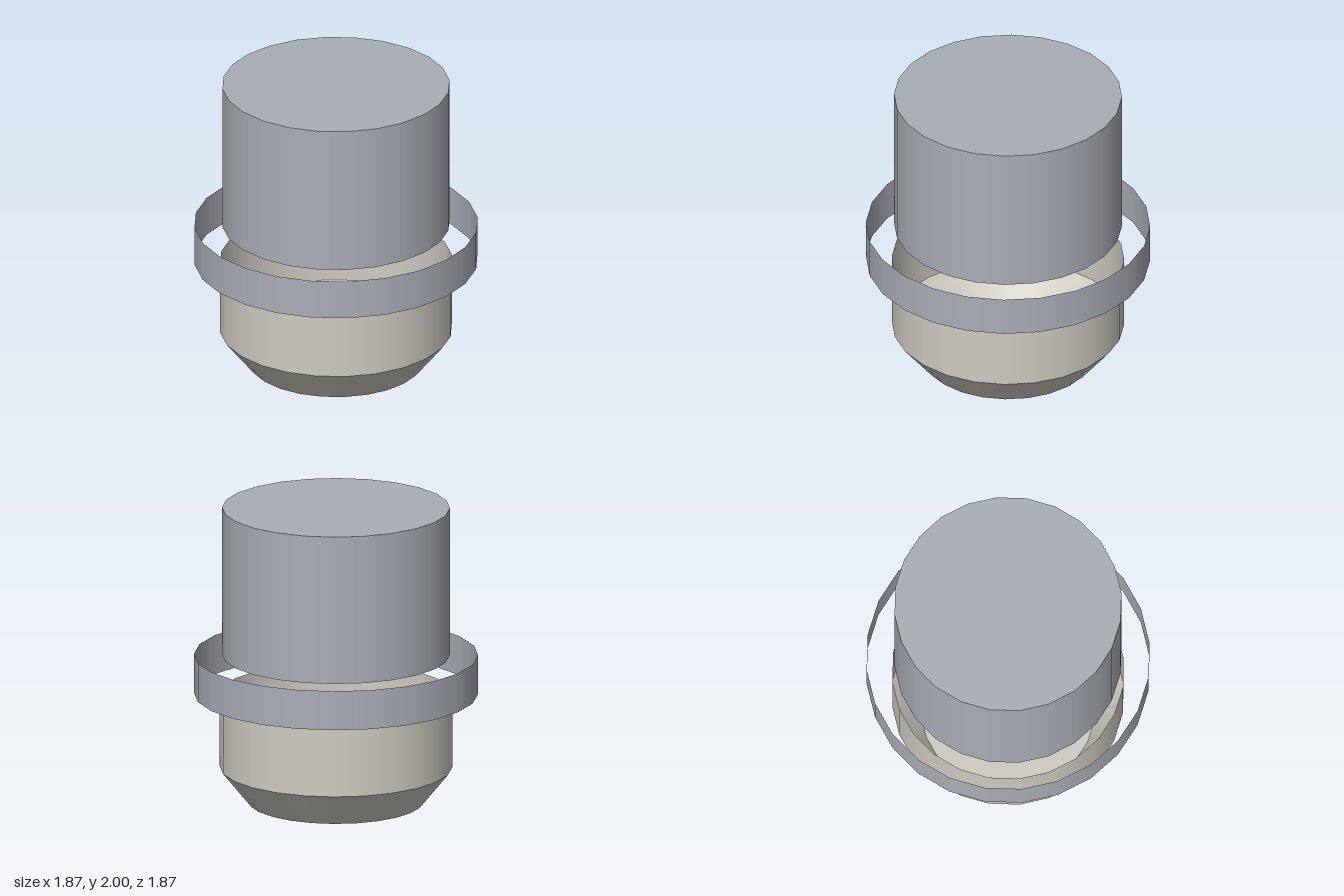
import * as THREE from 'three';

const SIDES = 24;

export function createModel() {
  const model = new THREE.Group();
  const steel = new THREE.MeshStandardMaterial({ color: 0xa9adb5, side: THREE.DoubleSide });
  const ivory = new THREE.MeshStandardMaterial({ color: 0xcecbc1, side: THREE.DoubleSide });

  const add = (name, geometry, material, y) => {
    const mesh = new THREE.Mesh(geometry, material);
    mesh.name = name;
    mesh.position.y = y;
    model.add(mesh);
    return mesh;
  };
  // Open wall between two heights
  const wall = (name, rTop, rBottom, y0, y1, material) =>
    add(name, new THREE.CylinderGeometry(rTop, rBottom, y1 - y0, SIDES, 1, true), material, (y0 + y1) / 2);
  // Flat disc facing up (+1) or down (-1)
  const disc = (name, radius, y, facing, material) =>
    add(name, new THREE.CircleGeometry(radius, SIDES).rotateX(-facing * Math.PI / 2), material, y);

  // Upper barrel: closed on top, open below
  wall('barrelWall', 0.75, 0.75, 1, 2, steel);
  disc('barrelTop', 0.75, 2, 1, steel);

  // Thin free-standing collar band
  wall('collarBand', 0.935, 0.935, 0.735, 1, steel);

  // Lower cup: open on top, tapered towards a flat base
  wall('cupWall', 0.765, 0.765, 0.235, 0.735, ivory);
  wall('cupTaper', 0.765, 0.575, 0, 0.235, ivory);
  disc('cupBase', 0.575, 0, -1, ivory);

  return model;
}
